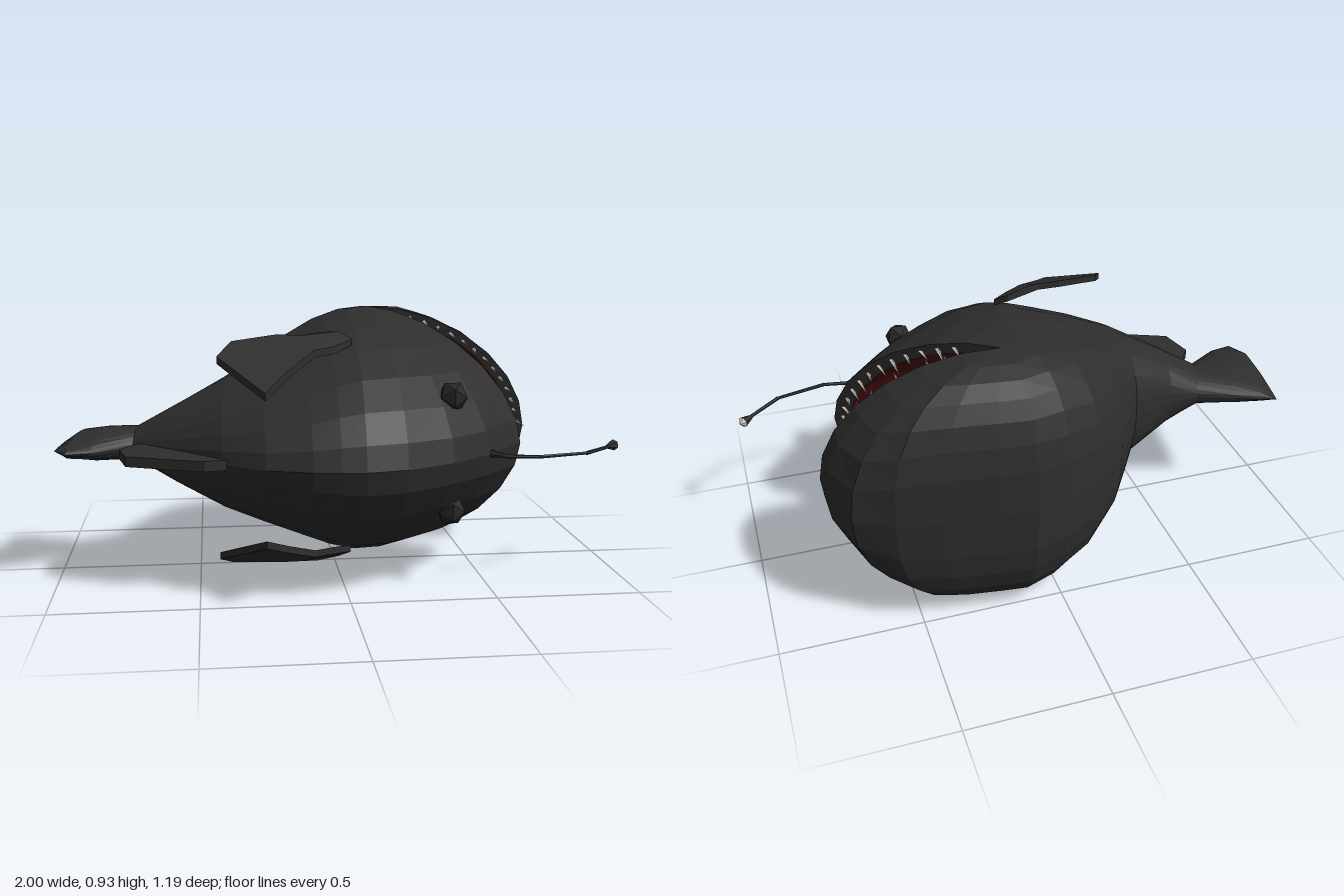
import * as THREE from 'three';

const MID = 0.465; // height of the fish's symmetry plane: it lies on its side
const flat = { flatShading: true, side: THREE.DoubleSide };
const skin = new THREE.MeshStandardMaterial({ name: 'charcoal skin', color: 0x2e2e2e, ...flat });
const mouthRed = new THREE.MeshStandardMaterial({ name: 'dark red mouth', color: 0x4a0c0e, ...flat });
const ivory = new THREE.MeshStandardMaterial({ name: 'ivory', color: 0xd6d6d0, ...flat });
const eyeDark = new THREE.MeshStandardMaterial({ name: 'eye black', color: 0x262626, ...flat });

// Half ring from one flank (M, half width w) over the outline point P to the other flank.
function arcPoint([mx, mz, px, pz, w, n], a) {
  const c = Math.cos(a), s = Math.max(0, Math.sin(a));
  const t = Math.pow(s, 2 / n);
  const lat = Math.sign(c) * w * Math.pow(Math.abs(c), 2 / n);
  return new THREE.Vector3(mx + (px - mx) * t, MID + lat, mz + (pz - mz) * t);
}

// Skin over a row of half rings.
function loft(stations, segs = 14, flip = false) {
  const pos = [], idx = [];
  for (const s of stations)
    for (let j = 0; j <= segs; j++) pos.push(...arcPoint(s, (Math.PI * j) / segs).toArray());
  for (let i = 0; i < stations.length - 1; i++)
    for (let j = 0; j < segs; j++) {
      const a = i * (segs + 1) + j, b = a + 1, c = a + segs + 1, d = c + 1;
      if (flip) idx.push(a, c, b, b, c, d);
      else idx.push(a, b, c, b, d, c);
    }
  const g = new THREE.BufferGeometry();
  g.setAttribute('position', new THREE.Float32BufferAttribute(pos, 3));
  g.setIndex(idx);
  g.computeVertexNormals();
  return g;
}

// Flat plate drawn in the x/z plane; lat(x, z) gives its sideways position.
function plate(points, thick, lat) {
  const shape = new THREE.Shape(points.map(([x, z]) => new THREE.Vector2(x, z)));
  const g = new THREE.ExtrudeGeometry(shape, { depth: thick, bevelEnabled: false });
  const p = g.attributes.position;
  for (let i = 0; i < p.count; i++) {
    const x = p.getX(i), z = p.getY(i), d = p.getZ(i) - thick / 2;
    p.setXYZ(i, x, MID + lat(x, z, d), z);
  }
  g.computeVertexNormals();
  return g;
}

export function createModel() {
  const model = new THREE.Group();
  model.name = 'deepSeaFish';
  const add = (name, geo, mat, parent = model) => {
    const m = new THREE.Mesh(geo, mat);
    m.name = name;
    parent.add(m);
    return m;
  };

  // Trunk stations, tail to jaw hinge: flank x z, back x z, belly x z, half width
  const trunk = [
    [-0.98, -0.04, -1.0, 0.13, -0.95, -0.22, 0.004],
    [-0.93, -0.02, -0.955, 0.2, -0.9, -0.2, 0.04],
    [-0.84, -0.01, -0.87, 0.18, -0.8, -0.165, 0.055],
    [-0.72, -0.01, -0.73, 0.09, -0.67, -0.115, 0.06],
    [-0.58, 0.02, -0.56, 0.26, -0.56, -0.12, 0.14],
    [-0.4, 0.0, -0.42, 0.41, -0.4, -0.17, 0.235],
    [-0.27, -0.08, -0.28, 0.52, -0.33, -0.28, 0.3],
    [-0.13, -0.15, -0.13, 0.57, -0.25, -0.4, 0.37],
    [-0.02, -0.22, -0.04, 0.585, -0.13, -0.51, 0.425],
    [0.08, -0.27, 0.04, 0.59, 0.0, -0.57, 0.458],
    [0.16, -0.31, 0.18, 0.56, 0.12, -0.6, 0.465],
  ];
  const H = [0.16, -0.31], W = 0.465;
  const hinge = (x, z, n, w = W) => [...H, x, z, w, n];
  const upperRim = hinge(0.66, 0.16, 1.75), lowerRim = hinge(0.77, -0.2, 1.9);
  const upperIn = hinge(0.61, 0.115, 1.75, 0.43), lowerIn = hinge(0.72, -0.215, 1.9, 0.43);

  const back = trunk.map(([mx, mz, tx, tz, , , w]) => [mx, mz, tx, tz, w, 1.75]);
  const belly = trunk.map(([mx, mz, , , bx, bz, w], i) => [mx, mz, bx, bz, w, 2 + 0.08 * i]);
  add('backAndUpperJaw', loft([...back, hinge(0.35, 0.47, 1.7), hinge(0.5, 0.35, 1.7),
    hinge(0.58, 0.25, 1.75), upperRim], 14, true), skin);
  add('bellyAndLowerJaw', loft([...belly, hinge(0.25, -0.585, 2.8), hinge(0.42, -0.56, 2.8),
    hinge(0.58, -0.53, 2.6), hinge(0.71, -0.46, 2.1), hinge(0.77, -0.3, 1.95), lowerRim]), skin);

  // Lips and mouth lining
  add('upperLip', loft([upperRim, upperIn], 14, true), skin);
  add('lowerLip', loft([lowerRim, lowerIn]), skin);
  add('mouthLining', loft([lowerIn, hinge(0.58, -0.36, 2, 0.43), hinge(0.3, -0.4, 2, 0.43),
    hinge(0.02, -0.22, 2, 0.43), hinge(0.2, 0.1, 2, 0.43), hinge(0.45, 0.17, 1.85, 0.43), upperIn], 14, true), mouthRed);

  // Needle teeth along both lips
  const teeth = new THREE.Group();
  teeth.name = 'teeth';
  model.add(teeth);
  const up = new THREE.Vector3(0, 1, 0);
  function toothRow(name, outer, inner, count, dir, length) {
    for (let i = 0; i < count; i++) {
      const a = Math.PI * (0.1 + (0.8 * i) / (count - 1));
      const base = arcPoint(outer, a).lerp(arcPoint(inner, a), 0.6);
      const len = length(i, a);
      const lean = new THREE.Vector3(dir[0] + 0.1 * Math.sin(i * 2.3), -0.15 * Math.cos(a), dir[1]).normalize();
      const g = new THREE.ConeGeometry(0.009, len, 4).translate(0, len / 2 - 0.008, 0);
      const tooth = add(name, g, ivory, teeth);
      tooth.position.copy(base);
      tooth.quaternion.setFromUnitVectors(up, lean);
    }
  }
  toothRow('upperTooth', upperRim, upperIn, 24, [-0.1, -1], (i) => 0.075 + 0.02 * Math.sin(i * 1.9));
  toothRow('lowerTooth', lowerRim, lowerIn, 26, [-0.05, 1],
    (i, a) => (i === 12 || i === 13 ? 0.14 : 0.075 + 0.02 * Math.sin(a) + 0.02 * Math.sin(i * 2.7)));

  // Fin along the rear of the back
  add('dorsalFin', plate([[-0.68, 0.08], [-0.77, 0.2], [-0.74, 0.33], [-0.6, 0.39], [-0.48, 0.44],
    [-0.4, 0.42], [-0.45, 0.3]], 0.035, (x, z, d) => d), skin);

  for (const side of [1, -1]) {
    // Side fins slope inwards towards their tips
    const lat = (x, z, d) => side * (0.395 - (z - 0.2) * 0.45 - Math.max(0, x + 0.1) * 0.25 + d);
    add(side > 0 ? 'upperSideFin' : 'lowerSideFin', plate([[0.04, 0.17], [0, 0.14], [-0.08, 0.18],
      [-0.14, 0.21], [-0.22, 0.2], [-0.38, 0.24], [-0.43, 0.33], [-0.36, 0.43], [-0.28, 0.54],
      [-0.2, 0.42], [-0.1, 0.3], [-0.03, 0.25]], 0.025, lat), skin);

    // Bulging eyes
    const eye = add('eye', new THREE.IcosahedronGeometry(0.056, 0), eyeDark);
    eye.position.set(0.37, MID + side * 0.2, 0.325);
    eye.scale.set(0.95, 1, 1);
  }

  // Lure: bent rod growing from the brow, with a pale tip
  const rod = [[0.49, 0.31], [0.545, 0.385], [0.66, 0.405], [0.84, 0.36], [0.96, 0.255]]
    .map(([x, z]) => new THREE.Vector3(x, MID, z));
  for (let i = 0; i < rod.length - 1; i++) {
    const dir = rod[i + 1].clone().sub(rod[i]), len = dir.length();
    const g = new THREE.CylinderGeometry(0.006, i === 0 ? 0.02 : 0.007, len + 0.006, 6);
    const part = add('lureRod', g, skin);
    part.position.copy(rod[i]).addScaledVector(dir, 0.5);
    part.quaternion.setFromUnitVectors(up, dir.normalize());
  }
  const lureDir = new THREE.Vector3(0.75, 0, -0.66).normalize();
  const bulb = add('lureBulb', new THREE.CylinderGeometry(0.02, 0.007, 0.045, 6), skin);
  bulb.position.set(0.966, MID, 0.247);
  bulb.quaternion.setFromUnitVectors(up, lureDir);
  const tip = add('lureTip', new THREE.ConeGeometry(0.02, 0.018, 6), ivory);
  tip.position.set(0.989, MID, 0.226);
  tip.quaternion.setFromUnitVectors(up, lureDir);

  return model;
}
